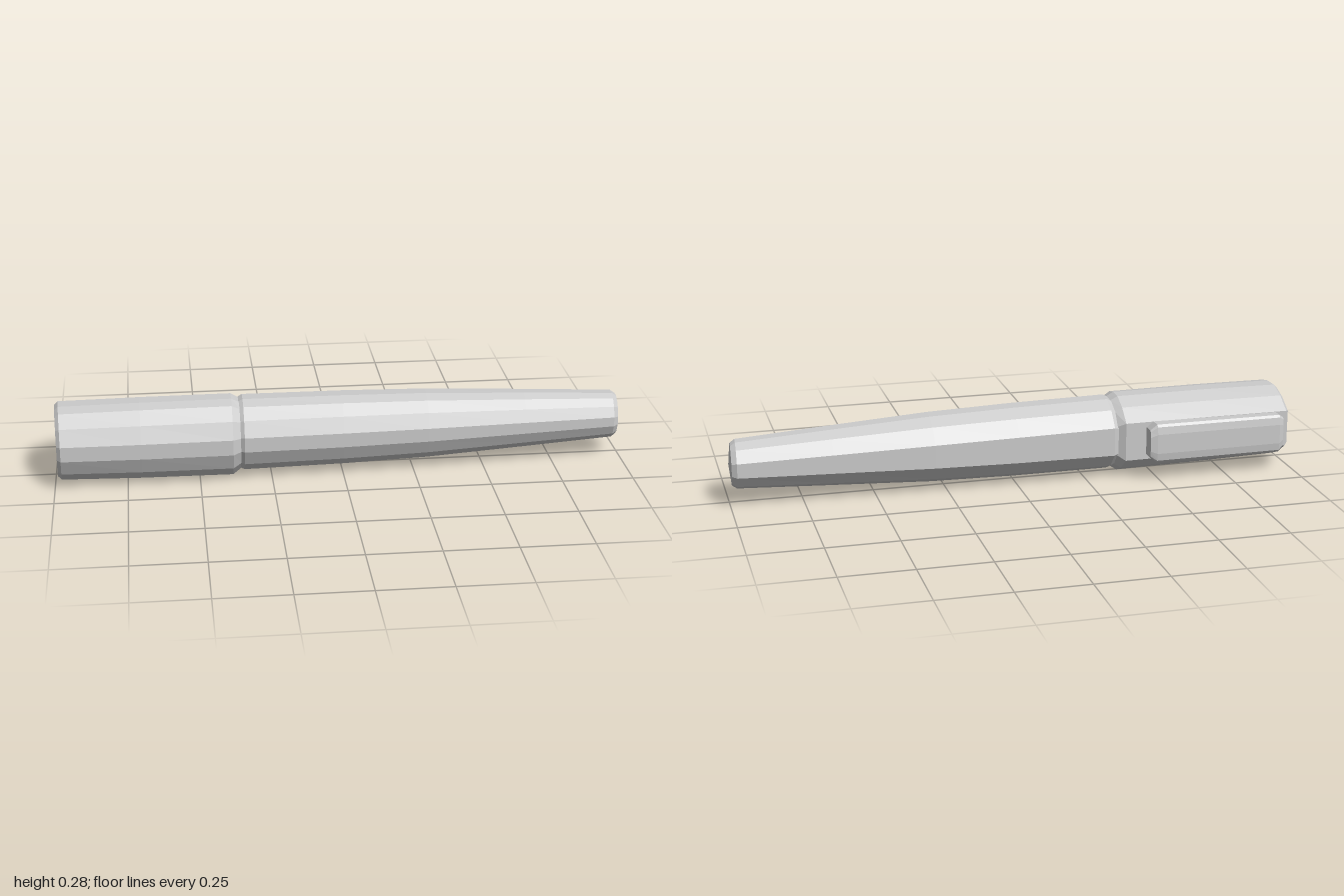
import * as THREE from 'three';

// Upper half outlines running from front (+z) to back (-z); mirrored for the lower half
const flatBack = [[1, 0.2], [0.82, 0.63], [0.5, 0.93], [0.18, 1], [-0.2, 1], [-0.61, 0.82], [-1, 0.52]];
const round = [[1, 0.2], [0.8, 0.61], [0.5, 0.87], [0.18, 1], [-0.25, 0.98], [-0.66, 0.77], [-1, 0.3]];
const clipOutline = [[1, 0.98], [-0.6, 1], [-0.85, 0.88], [-1, 0.5]];

const mirrored = half => [...half, ...half.slice().reverse().map(([u, v]) => [u, -v])];
const blend = k => round.map(([u, v], i) => [
  THREE.MathUtils.lerp(u, flatBack[i][0], k),
  THREE.MathUtils.lerp(v, flatBack[i][1], k),
]);

// Closed loft along x. Each ring: [x, zMin, zMax, yMin, yMax, outline, tilt]
function loft(name, rings, material, bulge = [0, 0]) {
  const positions = [], index = [];
  const n = rings[0][5].length * 2;
  for (const [x, z0, z1, y0, y1, half, tilt = 0] of rings) {
    for (const [u, v] of mirrored(half)) {
      positions.push(x + tilt * u, (y0 + y1) / 2 + v * (y1 - y0) / 2, (z0 + z1) / 2 + u * (z1 - z0) / 2);
    }
  }
  for (let r = 0; r < rings.length - 1; r++) {
    for (let i = 0; i < n; i++) {
      const j = (i + 1) % n, a = r * n, b = a + n;
      index.push(a + i, b + i, a + j, b + i, b + j, a + j);
    }
  }
  // End faces, optionally pushed outwards at the middle
  [0, rings.length - 1].forEach((r, end) => {
    const [x, z0, z1, y0, y1] = rings[r];
    const c = positions.length / 3;
    positions.push(x + bulge[end], (y0 + y1) / 2, (z0 + z1) / 2);
    for (let i = 0; i < n; i++) {
      const p = r * n + i, q = r * n + (i + 1) % n;
      if (end) index.push(c, q, p);
      else index.push(c, p, q);
    }
  });
  const geometry = new THREE.BufferGeometry();
  geometry.setAttribute('position', new THREE.Float32BufferAttribute(positions, 3));
  geometry.setIndex(index);
  geometry.computeVertexNormals();
  const mesh = new THREE.Mesh(geometry, material);
  mesh.name = name;
  return mesh;
}

export function createModel() {
  const group = new THREE.Group();
  group.name = 'pen';
  const material = new THREE.MeshStandardMaterial({ color: 0xcccccc, flatShading: true });

  // Cap with a flattened back that carries the clip
  const capShape = blend(0.9);
  group.add(loft('cap', [
    [-0.993, -0.1, 0.158, 0.025, 0.262, capShape, 0.006],
    [-0.98, -0.116, 0.17, 0.012, 0.274, capShape, 0.006],
    [-0.7, -0.117, 0.168, 0.005, 0.277, capShape],
    [-0.385, -0.117, 0.16, 0.001, 0.277, capShape],
    [-0.358, -0.1, 0.143, 0.018, 0.263, blend(0.6)],
  ], material));

  // Barrel narrowing towards the free end
  group.add(loft('barrel', [
    [-0.37, -0.098, 0.134, 0.024, 0.258, blend(0.4)],
    [-0.345, -0.113, 0.15, 0.012, 0.272, blend(0.4)],
    [0, -0.116, 0.139, 0.014, 0.269, blend(0.3)],
    [0.3, -0.114, 0.124, 0.021, 0.262, blend(0.2)],
    [0.65, -0.105, 0.098, 0.04, 0.244, blend(0.1)],
    [0.973, -0.095, 0.073, 0.058, 0.226, blend(0), -0.004],
    [0.99, -0.083, 0.06, 0.07, 0.214, blend(0), -0.004],
  ], material, [0, 0.008]));

  // Clip along the back of the cap, with bevelled ends
  group.add(loft('clip', [
    [-0.962, -0.155, -0.113, 0.085, 0.195, clipOutline],
    [-0.945, -0.164, -0.113, 0.07, 0.208, clipOutline],
    [-0.485, -0.171, -0.113, 0.07, 0.21, clipOutline],
    [-0.46, -0.167, -0.117, 0.09, 0.19, clipOutline],
  ], material));

  return group;
}
